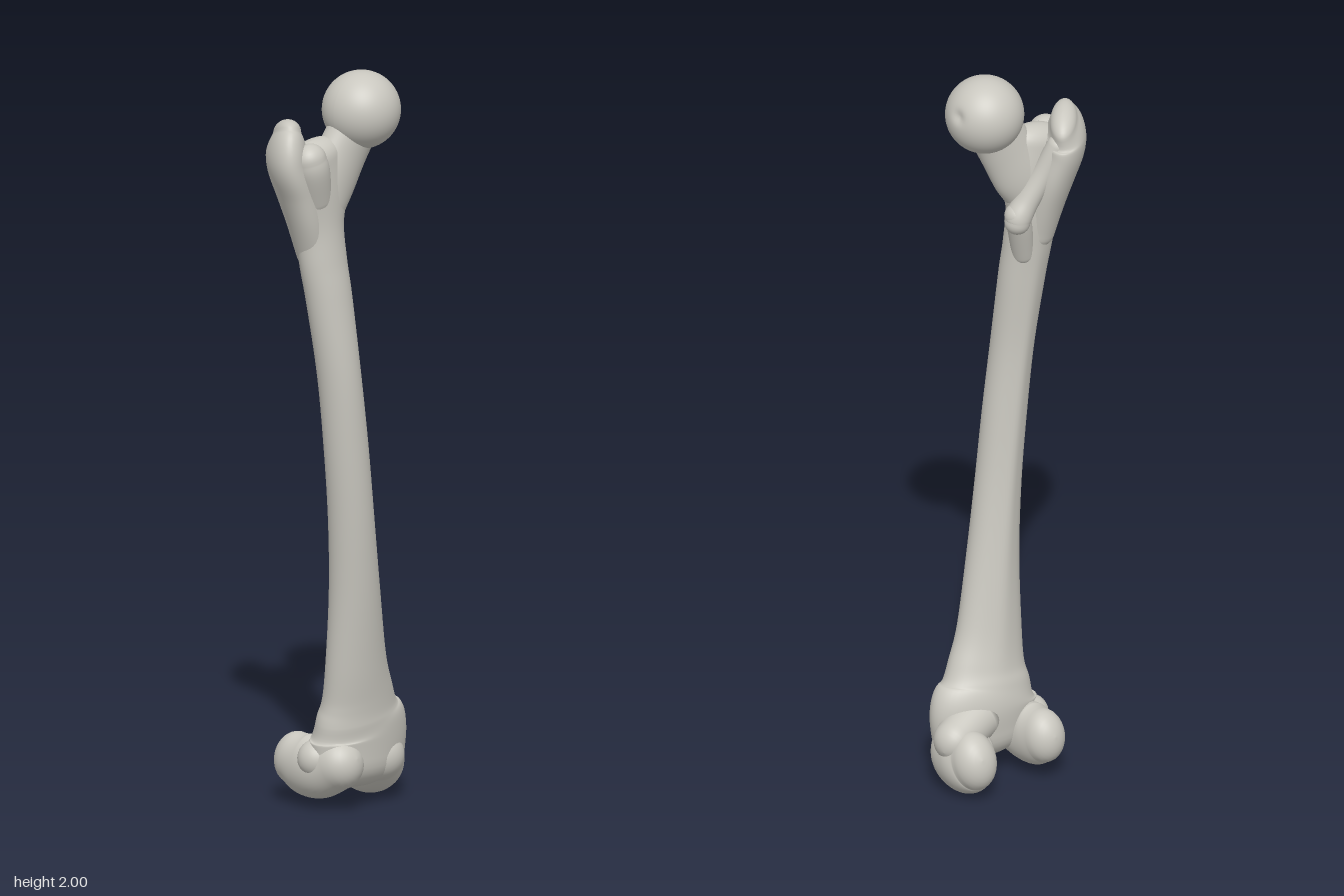
import * as THREE from 'three';

const X = new THREE.Vector3(1, 0, 0);
const Y = new THREE.Vector3(0, 1, 0);
const Z = new THREE.Vector3(0, 0, 1);
const SIDES = 48;
const CAP = 8;

const bone = new THREE.MeshStandardMaterial({ color: 0xc9c7bf });
bone.name = 'bone';

// Smooth round-ended limb through stations [x, y, z, ru, rv].
// ru is the half-width along the axis "ref", rv the half-width across it.
function limb(name, stations, ref, steps = 24, shape = () => 1) {
  const path = new THREE.CatmullRomCurve3(
    stations.map(([x, y, z]) => new THREE.Vector3(x, y, z)), false, 'catmullrom');
  const radii = new THREE.CatmullRomCurve3(
    stations.map(([, , , u, v]) => new THREE.Vector3(u, v, 0)), false, 'catmullrom');

  // Rings: rounded start, body, rounded end
  const rings = [];
  const addRing = (t, a) => {
    const T = path.getTangent(t);
    const r = radii.getPoint(t);
    const c = path.getPoint(t).addScaledVector(T, Math.min(r.x, r.y) * Math.sin(a));
    const U = ref.clone().addScaledVector(T, -ref.dot(T)).normalize();
    const V = T.clone().cross(U);
    rings.push({ c, U, V, r: r.multiplyScalar(Math.cos(a)), t });
  };
  for (let i = CAP; i > 0; i--) addRing(0, -i / CAP * Math.PI / 2);
  for (let i = 0; i <= steps; i++) addRing(i / steps, 0);
  for (let i = 1; i <= CAP; i++) addRing(1, i / CAP * Math.PI / 2);

  const pos = [], index = [];
  rings.forEach(({ c, U, V, r, t }, i) => {
    for (let j = 0; j < SIDES; j++) {
      const a = j / SIDES * Math.PI * 2;
      const k = shape(a, t);
      const p = c.clone()
        .addScaledVector(U, r.x * k * Math.cos(a))
        .addScaledVector(V, r.y * k * Math.sin(a));
      pos.push(p.x, p.y, p.z);
      if (i < rings.length - 1) {
        const n = (j + 1) % SIDES;
        const p0 = i * SIDES + j, p1 = i * SIDES + n;
        index.push(p0, p1, p0 + SIDES, p1, p1 + SIDES, p0 + SIDES);
      }
    }
  });
  const geo = new THREE.BufferGeometry();
  geo.setAttribute('position', new THREE.Float32BufferAttribute(pos, 3));
  geo.setIndex(index);
  geo.computeVertexNormals();
  const mesh = new THREE.Mesh(geo, bone);
  mesh.name = name;
  return mesh;
}

// Ball of the hip joint with a small pit on its inner side
function femoralHead() {
  const R = 0.104;
  const geo = new THREE.SphereGeometry(R, 64, 48);
  const pit = new THREE.Vector3(0.93, 0.25, -0.2).normalize();
  const p = geo.attributes.position;
  const v = new THREE.Vector3();
  for (let i = 0; i < p.count; i++) {
    v.fromBufferAttribute(p, i);
    const d = v.angleTo(pit) / 0.16;
    v.multiplyScalar(1 - 0.09 * Math.exp(-d * d));
    p.setXYZ(i, v.x, v.y, v.z);
  }
  geo.computeVertexNormals();
  const mesh = new THREE.Mesh(geo, bone);
  mesh.name = 'femoralHead';
  mesh.position.set(0.028, 1.896, 0.066);
  return mesh;
}

export function createModel() {
  const group = new THREE.Group();
  group.name = 'thighBone';

  // Bowed shaft, with a faint ridge along the back of its middle
  const ridge = (a, t) => {
    const d = (a - Math.PI / 2) / 0.3;
    return 1 + 0.1 * Math.exp(-d * d) * Math.sin(Math.PI * t) ** 2;
  };
  group.add(limb('shaft', [
    [0.065, 0.13, 0.015, 0.155, 0.08],
    [0.066, 0.2, 0.015, 0.158, 0.083],
    [0.055, 0.25, 0.022, 0.132, 0.077],
    [0.047, 0.3, 0.031, 0.113, 0.069],
    [0.028, 0.4, 0.045, 0.093, 0.064],
    [0.003, 0.6, 0.065, 0.073, 0.061],
    [-0.022, 0.8, 0.078, 0.063, 0.059],
    [-0.045, 1.0, 0.082, 0.06, 0.058],
    [-0.067, 1.2, 0.078, 0.058, 0.058],
    [-0.085, 1.4, 0.06, 0.065, 0.057],
    [-0.095, 1.5, 0.048, 0.069, 0.056],
    [-0.101, 1.6, 0.038, 0.073, 0.057],
    [-0.105, 1.7, 0.039, 0.095, 0.056],
    [-0.125, 1.785, 0.042, 0.095, 0.052],
  ], X, 110, ridge));

  // Hip end: head, neck and the bumps beside them
  group.add(femoralHead());
  group.add(limb('femoralNeck', [
    [-0.1, 1.64, 0.04, 0.052, 0.07],
    [-0.07, 1.71, 0.042, 0.053, 0.083],
    [-0.03, 1.785, 0.05, 0.053, 0.077],
    [0.0, 1.84, 0.058, 0.058, 0.073],
    [0.025, 1.885, 0.065, 0.07, 0.078],
  ], Z));
  group.add(limb('greaterTrochanter', [
    [-0.115, 1.53, 0.03, 0.05, 0.045],
    [-0.135, 1.62, 0.02, 0.072, 0.05],
    [-0.155, 1.7, 0.008, 0.088, 0.054],
    [-0.178, 1.77, 0.0, 0.098, 0.055],
    [-0.18, 1.815, -0.003, 0.094, 0.052],
    [-0.169, 1.853, -0.012, 0.076, 0.036],
  ], new THREE.Vector3(0.62, 0, -0.78)));
  group.add(limb('trochanterFrontBump', [
    [-0.13, 1.68, 0.055, 0.045, 0.04],
    [-0.155, 1.76, 0.067, 0.048, 0.045],
    [-0.165, 1.795, 0.068, 0.045, 0.042],
  ], X, 10));
  group.add(limb('trochantericCrest', [
    [-0.135, 1.8, -0.035, 0.03, 0.03],
    [-0.1, 1.72, -0.018, 0.03, 0.032],
    [-0.06, 1.65, -0.005, 0.032, 0.034],
    [-0.035, 1.61, -0.003, 0.036, 0.036],
    [-0.029, 1.592, -0.003, 0.034, 0.035],
  ], X));
  group.add(limb('lesserTrochanterRoot', [
    [-0.065, 1.48, 0.025, 0.03, 0.03],
    [-0.045, 1.56, 0.008, 0.033, 0.033],
    [-0.03, 1.61, -0.001, 0.034, 0.034],
  ], X, 12));

  // Knee end: two rolling condyles running front to back
  group.add(limb('lateralCondyle', [
    [-0.03, 0.13, 0.04, 0.066, 0.07],
    [-0.038, 0.108, -0.02, 0.066, 0.08],
    [-0.04, 0.112, -0.07, 0.062, 0.084],
    [-0.042, 0.122, -0.107, 0.057, 0.073],
  ], X));
  group.add(limb('medialCondyle', [
    [0.125, 0.125, 0.03, 0.07, 0.07],
    [0.155, 0.093, -0.02, 0.083, 0.083],
    [0.173, 0.094, -0.07, 0.077, 0.09],
    [0.178, 0.11, -0.108, 0.061, 0.08],
  ], X));
  group.add(limb('lateralEpicondyle', [
    [0.0, 0.16, 0.01, 0.06, 0.06],
    [-0.063, 0.14, -0.01, 0.052, 0.05],
  ], Y, 10));
  group.add(limb('medialEpicondyle', [
    [0.1, 0.18, -0.005, 0.07, 0.07],
    [0.198, 0.15, -0.05, 0.058, 0.056],
  ], Y, 10));
  return group;
}
